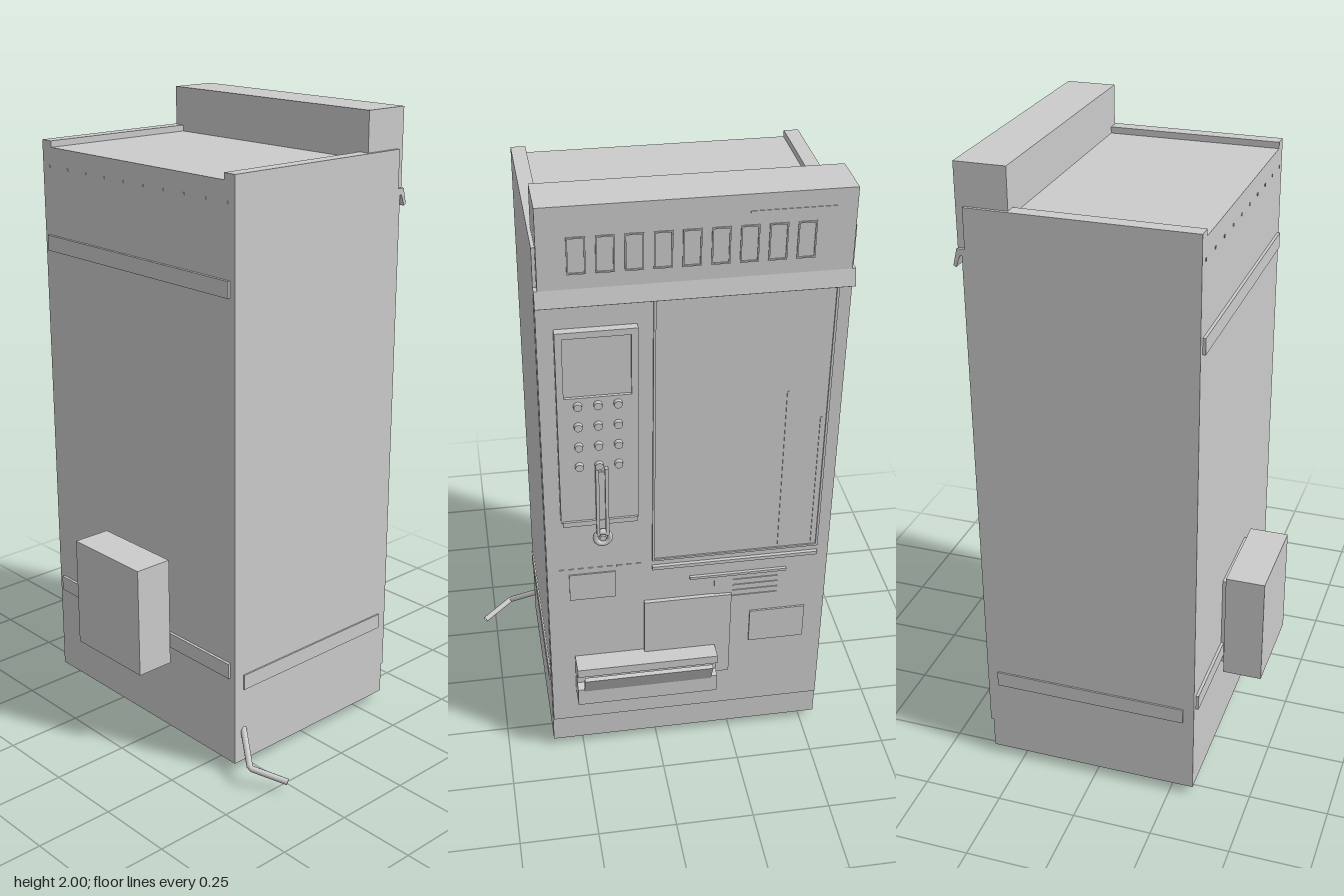
import * as THREE from 'three';

export function createModel() {
  const root = new THREE.Group();
  const mat = new THREE.MeshStandardMaterial({ color: 0xcccccc, side: THREE.DoubleSide });

  const add = (name, geo, parent = root) => {
    const m = new THREE.Mesh(geo, mat);
    m.name = name;
    parent.add(m);
    return m;
  };
  const group = (name) => {
    const g = new THREE.Group();
    g.name = name;
    root.add(g);
    return g;
  };
  // box given by its extents
  const box = (name, x0, x1, y0, y1, z0, z1, parent) => {
    const m = add(name, new THREE.BoxGeometry(x1 - x0, y1 - y0, z1 - z0), parent);
    m.position.set((x0 + x1) / 2, (y0 + y1) / 2, (z0 + z1) / 2);
    return m;
  };
  // profile in (z, y) extruded along x
  const alongX = (name, pts, x0, x1, parent) => {
    const s = new THREE.Shape(pts.map(([z, y]) => new THREE.Vector2(-z, y)));
    const m = add(name, new THREE.ExtrudeGeometry(s, { depth: x1 - x0, bevelEnabled: false }), parent);
    m.rotation.y = Math.PI / 2;
    m.position.x = x0;
    return m;
  };
  // rectangular frame facing the back
  const frame = (name, x0, x1, y0, y1, z0, z1, t, parent) => {
    const rect = (P, d) => new P([[x0 + d, y0 + d], [x1 - d, y0 + d], [x1 - d, y1 - d], [x0 + d, y1 - d]]
      .map(([x, y]) => new THREE.Vector2(x, y)));
    const s = rect(THREE.Shape, 0);
    s.holes.push(rect(THREE.Path, t));
    const m = add(name, new THREE.ExtrudeGeometry(s, { depth: z1 - z0, bevelEnabled: false }), parent);
    m.position.z = z0;
    return m;
  };

  // cabinet
  const cabinet = group('cabinet');
  box('cabinetBody', -0.545, 0.35, 0.03, 1.855, -0.35, 0.325, cabinet);
  box('rightTopRail', -0.545, -0.5, 1.855, 1.875, -0.35, 0.325, cabinet);
  box('leftTopRail', 0.305, 0.35, 1.855, 1.875, -0.35, 0.325, cabinet);
  box('doorPanel', -0.543, 0.348, 0.13, 1.74, -0.36, -0.35, cabinet);
  for (const x of [-0.475, 0.28]) for (const z of [0.25, -0.27]) {
    add('foot', new THREE.CylinderGeometry(0.028, 0.028, 0.03, 20), cabinet).position.set(x, 0.015, z);
  }

  // mounting bars, side trims and screws
  const trims = group('trims');
  for (const y of [0.325, 1.525]) box('mountingBar', -0.525, 0.33, y, y + 0.05, 0.325, 0.334, trims);
  box('rightSideTrim', -0.55, -0.545, 0.28, 0.33, -0.325, 0.29, trims);
  box('leftSideTrim', 0.35, 0.355, 0.28, 0.33, -0.325, 0.29, trims);
  for (let i = 0; i < 10; i++) {
    const x = -0.51 + i * 0.092;
    box('screw', x - 0.004, x + 0.004, 1.79, 1.798, 0.325, 0.327, trims);
  }

  // service box on the plain side
  const service = group('serviceBox');
  box('serviceBoxMount', -0.235, 0.04, 0.3, 0.61, 0.325, 0.345, service);
  box('serviceBoxBody', -0.255, 0.06, 0.275, 0.635, 0.34, 0.465, service);

  // header with its row of windows
  const header = group('header');
  alongX('headerBody', [[-0.22, 1.855], [-0.22, 2], [-0.374, 2], [-0.374, 1.74], [-0.35, 1.74], [-0.35, 1.855]],
    -0.535, 0.34, header);
  alongX('headerLip', [[-0.35, 1.755], [-0.374, 1.755], [-0.386, 1.705], [-0.378, 1.7], [-0.365, 1.735], [-0.35, 1.735]],
    -0.545, 0.35, header);
  for (let i = 0; i < 9; i++) {
    const x = 0.233 - i * 0.079;
    frame('headerWindow', x - 0.026, x + 0.026, 1.8, 1.91, -0.378, -0.374, 0.004, header);
  }
  box('headerStrip', -0.48, -0.24, 1.945, 1.951, -0.376, -0.374, header);

  // display window
  const display = group('displayWindow');
  box('displayPane', -0.5, 0.015, 0.78, 1.705, -0.363, -0.36, display);
  frame('displayFrame', -0.506, 0.02, 0.775, 1.715, -0.368, -0.36, 0.007, display);
  box('paneStrip', -0.382, -0.376, 0.79, 1.36, -0.366, -0.362, display);
  box('paneStrip', -0.488, -0.482, 0.79, 1.26, -0.366, -0.362, display);
  box('displaySill', -0.506, 0.02, 0.742, 0.754, -0.372, -0.36, display);

  // keypad panel
  const keypad = group('keypadPanel');
  box('keypadBase', 0.065, 0.3, 0.97, 1.4, -0.385, -0.36, keypad);
  box('screen', 0.085, 0.28, 1.41, 1.6, -0.376, -0.36, keypad);
  frame('screenFrame', 0.065, 0.3, 1.39, 1.625, -0.385, -0.36, 0.02, keypad);
  box('keypadFoot', 0.07, 0.295, 0.958, 0.975, -0.392, -0.36, keypad);
  for (let r = 0; r < 4; r++) for (let c = 0; c < 3; c++) {
    const key = add('key', new THREE.CylinderGeometry(0.012, 0.013, 0.014, 14), keypad);
    key.rotation.x = -Math.PI / 2;
    key.position.set(0.125 + c * 0.058, 1.385 - r * 0.07, -0.391);
  }

  // lever with a ring at its lower end
  const lever = group('lever');
  for (const x of [0.162, 0.19]) box('leverRail', x - 0.005, x + 0.005, 0.92, 1.165, -0.4, -0.384, lever);
  box('leverPlate', 0.162, 0.19, 0.94, 1.15, -0.39, -0.36, lever);
  add('leverRing', new THREE.TorusGeometry(0.022, 0.009, 10, 24), lever).position.set(0.176, 0.905, -0.388);
  const pin = add('leverPin', new THREE.CylinderGeometry(0.01, 0.01, 0.035, 14), lever);
  pin.rotation.x = Math.PI / 2;
  pin.position.set(0.176, 0.905, -0.377);

  // lower plates
  const plates = group('lowerPlates');
  box('smallPlate', 0.135, 0.28, 0.645, 0.746, -0.364, -0.36, plates);
  box('centrePlate', -0.235, 0.045, 0.285, 0.612, -0.374, -0.36, plates);
  box('cornerPlate', -0.48, -0.3, 0.4, 0.525, -0.366, -0.36, plates);
  box('labelPlate', -0.4, -0.18, 0.57, 0.685, -0.363, -0.36, plates);
  for (let i = 0; i < 4; i++) {
    const y = 0.595 + i * 0.022;
    box('labelRib', -0.385, -0.24, y, y + 0.005, -0.366, -0.362, plates);
  }
  box('labelEdge', -0.41, -0.1, 0.686, 0.695, -0.37, -0.36, plates);
  for (let i = 0; i < 9; i++) {
    const x = 0.055 + i * 0.03;
    box('dash', x, x + 0.016, 0.763, 0.769, -0.363, -0.36, plates);
  }

  // delivery tray with a tilted flap
  const tray = group('deliveryTray');
  alongX('trayBody', [[-0.36, 0.255], [-0.36, 0.405], [-0.43, 0.405], [-0.43, 0.375], [-0.405, 0.365], [-0.405, 0.33],
    [-0.43, 0.32], [-0.43, 0.255]], -0.185, 0.27, tray);
  alongX('trayFlap', [[-0.422, 0.315], [-0.43, 0.312], [-0.463, 0.385], [-0.452, 0.392]], -0.165, 0.25, tray);

  // crank at the lower left
  const path = new THREE.CurvePath();
  const p = [[0.345, 0.14, 0.285], [0.44, 0.065, 0.345], [0.54, 0.035, 0.28]].map((a) => new THREE.Vector3(...a));
  path.add(new THREE.LineCurve3(p[0], p[1]));
  path.add(new THREE.LineCurve3(p[1], p[2]));
  add('crank', new THREE.TubeGeometry(path, 24, 0.01, 10));

  return root;
}
